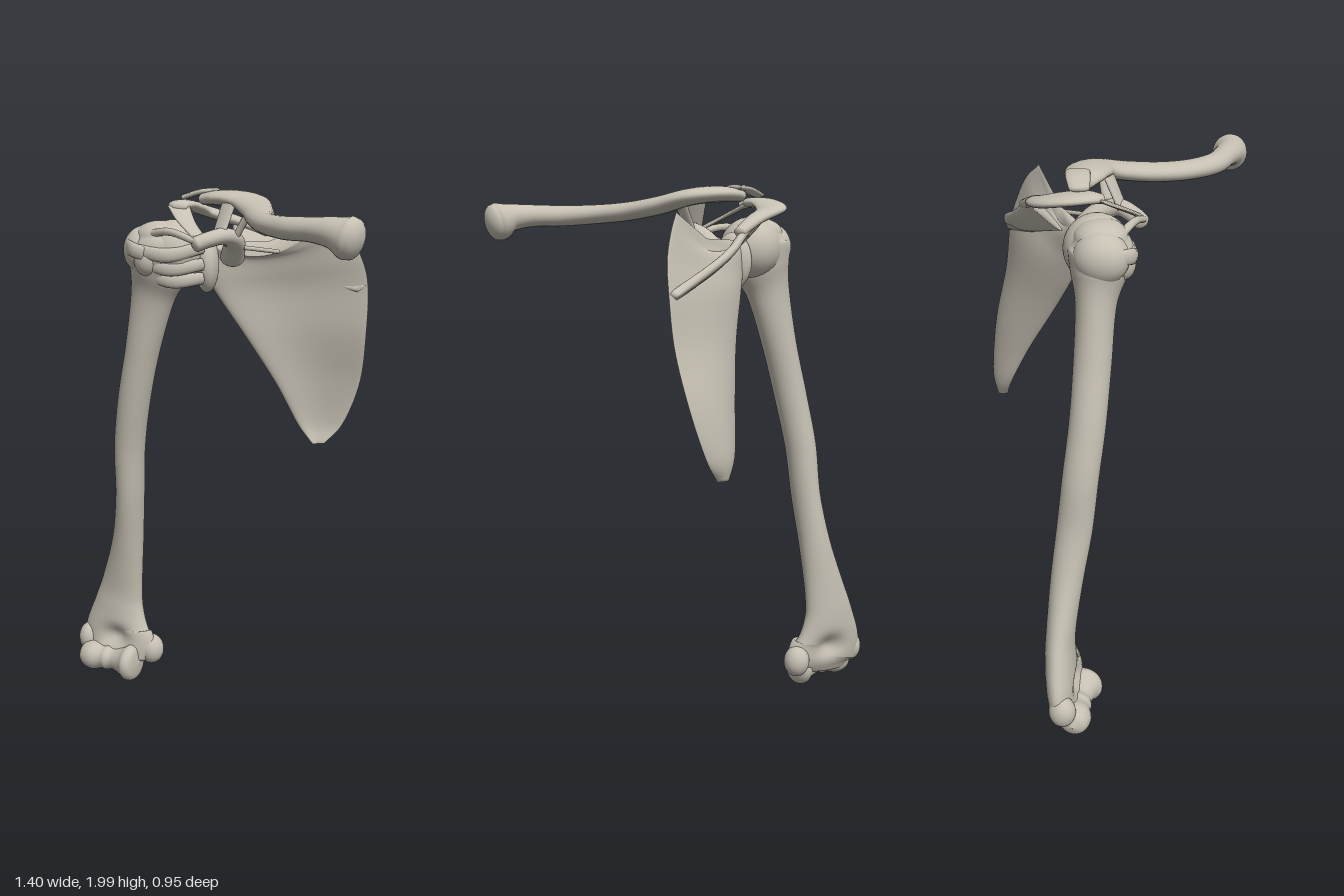
import * as THREE from 'three';

const boneMaterial = new THREE.MeshStandardMaterial({ color: 0xc6c0b3 });
boneMaterial.name = 'bone';

const V = (p) => new THREE.Vector3(p[0], p[1], p[2]);
const curve = (pts) => new THREE.CatmullRomCurve3(pts.map(V), false, 'catmullrom', 0.5);

// Skin a list of rings (equal point counts) and close both ends
function skin(name, rings) {
  const n = rings[0].length, pos = [], idx = [];
  rings.forEach((r) => r.forEach((p) => pos.push(p.x, p.y, p.z)));
  for (let i = 0; i < rings.length - 1; i++) {
    for (let j = 0; j < n; j++) {
      const a = i * n + j, b = i * n + (j + 1) % n;
      idx.push(a, b, a + n, b, b + n, a + n);
    }
  }
  [0, rings.length - 1].forEach((i) => {
    const c = rings[i].reduce((s, p) => s.add(p), new THREE.Vector3()).divideScalar(n);
    const k = pos.length / 3;
    pos.push(c.x, c.y, c.z);
    for (let j = 0; j < n; j++) {
      const a = i * n + j, b = i * n + (j + 1) % n;
      if (i === 0) idx.push(k, b, a); else idx.push(k, a, b);
    }
  });
  const g = new THREE.BufferGeometry();
  g.setAttribute('position', new THREE.Float32BufferAttribute(pos, 3));
  g.setIndex(idx);
  g.computeVertexNormals();
  const m = new THREE.Mesh(g, boneMaterial);
  m.name = name;
  return m;
}

// Elliptical shaft along [x, y, z, half width, half height], with domed ends
function shaft(name, pts, { up = [0, 1, 0], sides = 28, steps = 8, shape } = {}) {
  const path = curve(pts), size = curve(pts.map((p) => [p[3], p[4], 0]));
  const rings = [];
  const ring = (t, scale, shift) => {
    const dir = path.getTangent(t), s = size.getPoint(t);
    const side = dir.clone().cross(V(up)).normalize();
    const top = side.clone().cross(dir).normalize();
    const c = path.getPoint(t).addScaledVector(dir, shift * Math.min(s.x, s.y) * 0.6);
    rings.push(Array.from({ length: sides }, (_, j) => {
      const a = (j / sides) * Math.PI * 2;
      const p = c.clone().addScaledVector(top, Math.cos(a) * s.y * scale)
        .addScaledVector(side, Math.sin(a) * s.x * scale);
      if (shape) shape(p);
      return p;
    }));
  };
  const dome = [0.2, 0.5, 0.8, 1.15, 1.4];
  dome.forEach((a) => ring(0, Math.sin(a), -Math.cos(a)));
  const n = (pts.length - 1) * steps;
  for (let i = 0; i <= n; i++) ring(i / n, 1, 0);
  dome.reverse().forEach((a) => ring(1, Math.sin(a), Math.cos(a)));
  return skin(name, rings);
}

// Thin curved plate between two edge curves
function blade(name, edgeA, edgeB, { thick, bulge = 0, sag = 0, rows = 48, sides = 56 }) {
  const A = curve(edgeA), B = curve(edgeB), rings = [];
  for (let i = 0; i <= rows; i++) {
    const s = i / rows, a = A.getPoint(s), e = B.getPoint(s).sub(a);
    const dir = A.getTangent(s).add(B.getTangent(s));
    const nrm = e.clone().cross(dir).normalize();
    rings.push(Array.from({ length: sides }, (_, j) => {
      const w = (j / sides) * Math.PI * 2, u = (1 - Math.cos(w)) / 2, mid = Math.sin(Math.PI * u);
      const p = a.clone().addScaledVector(e, u)
        .addScaledVector(nrm, Math.sin(w) * thick(u, s) - bulge * mid * Math.sin(Math.PI * Math.min(1, s + 0.1)));
      p.y -= sag * mid * s ** 4;
      return p;
    }));
  }
  return skin(name, rings);
}

function knob(name, c, r, turn = 0) {
  const m = new THREE.Mesh(new THREE.SphereGeometry(1, 32, 20), boneMaterial);
  m.name = name;
  m.position.set(...c);
  m.scale.set(...r);
  m.rotation.y = turn;
  return m;
}

function upperArm() {
  const g = new THREE.Group();
  g.name = 'upperArmBone';
  // shaft, with hollows in the front and back of the flared lower end
  g.add(shaft('upperArmShaft', [
    [-0.51, 0.09, -0.03, 0.14, 0.045], [-0.515, 0.14, -0.045, 0.17, 0.055],
    [-0.53, 0.2, -0.058, 0.152, 0.058], [-0.525, 0.3, -0.067, 0.115, 0.056],
    [-0.507, 0.4, -0.067, 0.092, 0.054], [-0.465, 0.6, -0.05, 0.065, 0.06],
    [-0.435, 0.8, -0.025, 0.055, 0.065], [-0.42, 1.0, -0.005, 0.06, 0.065],
    [-0.383, 1.2, 0.015, 0.063, 0.065], [-0.335, 1.4, 0.025, 0.067, 0.066],
    [-0.285, 1.6, 0.03, 0.087, 0.07], [-0.255, 1.7, 0.035, 0.115, 0.095],
    [-0.24, 1.78, 0.04, 0.125, 0.11], [-0.24, 1.83, 0.04, 0.095, 0.09],
  ], {
    up: [0, 0, 1], sides: 40, steps: 10,
    shape: (p) => {
      const d = ((p.x + 0.51) / 0.06) ** 2 + ((p.y - 0.18) / 0.045) ** 2;
      p.z += (-0.055 - p.z) * 0.65 * Math.exp(-d);
    },
  }));
  g.add(knob('upperArmHead', [-0.195, 1.77, 0.02], [0.117, 0.117, 0.115]));
  g.add(knob('greaterTubercle', [-0.3, 1.775, 0.05], [0.078, 0.09, 0.095]));
  g.add(knob('lesserTubercle', [-0.255, 1.745, 0.115], [0.05, 0.06, 0.045]));
  g.add(knob('innerEpicondyle', [-0.372, 0.135, -0.065], [0.052, 0.062, 0.05]));
  g.add(knob('outerEpicondyle', [-0.655, 0.145, -0.04], [0.046, 0.062, 0.05]));
  // spool shaped elbow joint surface
  const profile = new THREE.SplineCurve([
    [0.001, -0.675], [0.045, -0.655], [0.06, -0.61], [0.048, -0.565], [0.05, -0.54],
    [0.043, -0.51], [0.058, -0.465], [0.075, -0.435], [0.06, -0.405], [0.001, -0.395],
  ].map(([r, x]) => new THREE.Vector2(r, x)));
  const joint = new THREE.Mesh(new THREE.LatheGeometry(profile.getPoints(40), 36), boneMaterial);
  joint.name = 'elbowJointSurface';
  joint.rotation.z = -Math.PI / 2;
  joint.position.set(0, 0.085, 0);
  g.add(joint);
  return g;
}

function shoulderBlade() {
  const g = new THREE.Group();
  g.name = 'shoulderBlade';
  g.add(blade('bladeBody',
    [[0.185, 0.995, -0.405], [0.135, 1.08, -0.37], [0.08, 1.25, -0.285], [0, 1.45, -0.17],
      [-0.07, 1.6, -0.09], [-0.1, 1.68, -0.055], [-0.1, 1.76, -0.05], [-0.08, 1.8, -0.05]],
    [[0.23, 0.995, -0.43], [0.295, 1.08, -0.465], [0.36, 1.25, -0.468], [0.395, 1.45, -0.43],
      [0.405, 1.63, -0.41], [0.39, 1.74, -0.375], [0.35, 1.83, -0.33], [0.295, 1.895, -0.27]],
    { thick: (u, s) => 0.011 + 0.05 * (1 - u) ** 4 * (0.4 + 0.6 * s), bulge: 0.035, sag: 0.085 }));
  // ridge across the back, leading to the acromion
  g.add(blade('bladeSpine',
    [[0.37, 1.61, -0.39], [0.2, 1.67, -0.29], [0.1, 1.71, -0.23], [0.03, 1.74, -0.17], [-0.02, 1.76, -0.13]],
    [[0.395, 1.63, -0.415], [0.22, 1.72, -0.39], [0.1, 1.78, -0.33], [0, 1.85, -0.265], [-0.08, 1.885, -0.225]],
    { thick: (u) => 0.011 + 0.016 * u ** 3 }));
  g.add(shaft('acromion', [
    [0.04, 1.83, -0.27, 0.022, 0.018], [-0.06, 1.875, -0.215, 0.035, 0.02],
    [-0.16, 1.91, -0.165, 0.055, 0.021], [-0.193, 1.932, -0.085, 0.057, 0.021],
    [-0.183, 1.938, -0.005, 0.045, 0.019], [-0.165, 1.93, 0.03, 0.026, 0.016],
  ]));
  g.add(knob('shoulderSocket', [-0.085, 1.725, -0.03], [0.045, 0.105, 0.075], 0.5));
  g.add(shaft('coracoid', [
    [0.0, 1.75, -0.07, 0.045, 0.04], [0.035, 1.81, -0.015, 0.04, 0.035],
    [0.035, 1.835, 0.06, 0.034, 0.03], [0.0, 1.825, 0.115, 0.033, 0.028], [-0.03, 1.81, 0.15, 0.03, 0.027],
  ]));
  return g;
}

function ligaments() {
  const g = new THREE.Group();
  g.name = 'ligaments';
  const band = (name, ...pts) => g.add(shaft(name, pts, { sides: 12, steps: 6 }));
  band('coracoAcromialBand', [-0.03, 1.835, 0.135, 0.028, 0.008], [-0.11, 1.885, 0.08, 0.035, 0.008], [-0.18, 1.935, 0.01, 0.042, 0.008]);
  band('coracoHumeralBand', [-0.03, 1.82, 0.155, 0.014, 0.012], [-0.16, 1.85, 0.135, 0.014, 0.014], [-0.33, 1.815, 0.075, 0.018, 0.014]);
  band('trapezoidBand', [0.02, 1.84, 0.075, 0.03, 0.01], [0.035, 1.95, 0.025, 0.035, 0.01]);
  band('conoidBand', [0.06, 1.83, 0.02, 0.018, 0.012], [0.12, 1.94, 0.01, 0.035, 0.012]);
  band('transverseScapularBand', [0.07, 1.79, -0.03, 0.008, 0.008], [0.15, 1.77, -0.15, 0.008, 0.008]);
  band('acromioclavicularBand', [-0.185, 1.965, -0.04, 0.035, 0.01], [-0.12, 1.985, -0.055, 0.042, 0.011], [-0.065, 1.99, -0.065, 0.042, 0.01]);
  // capsule straps fanning over the front of the joint
  [[1.79, 1.78], [1.73, 1.74], [1.68, 1.7]].forEach(([inner, outer], i) => band('capsuleBand' + (i + 1),
    [-0.065, inner, 0.045, 0.014, 0.022], [-0.16, (inner + outer) / 2 - 0.02, 0.13 - i * 0.015, 0.013, 0.026],
    [-0.27, outer, 0.15 - i * 0.02, 0.012, 0.022]));
  band('transverseHumeralBand', [-0.345, 1.79, 0.105, 0.012, 0.028], [-0.3, 1.785, 0.15, 0.012, 0.028], [-0.25, 1.77, 0.155, 0.012, 0.025]);
  return g;
}

export function createModel() {
  const model = new THREE.Group();
  model.name = 'shoulderAndUpperArmBones';
  model.add(upperArm(), shoulderBlade(), ligaments());
  model.add(shaft('collarBone', [
    [-0.1, 1.96, -0.045, 0.045, 0.022], [-0.04, 1.965, -0.045, 0.07, 0.028],
    [0.03, 1.963, -0.04, 0.08, 0.03], [0.1, 1.952, -0.012, 0.073, 0.031],
    [0.17, 1.925, 0.07, 0.058, 0.033], [0.24, 1.905, 0.18, 0.052, 0.034],
    [0.32, 1.895, 0.285, 0.05, 0.035], [0.42, 1.89, 0.363, 0.046, 0.038],
    [0.52, 1.89, 0.395, 0.046, 0.04], [0.6, 1.883, 0.41, 0.055, 0.05],
    [0.645, 1.87, 0.41, 0.066, 0.068], [0.665, 1.865, 0.41, 0.06, 0.066],
  ]));
  return model;
}
